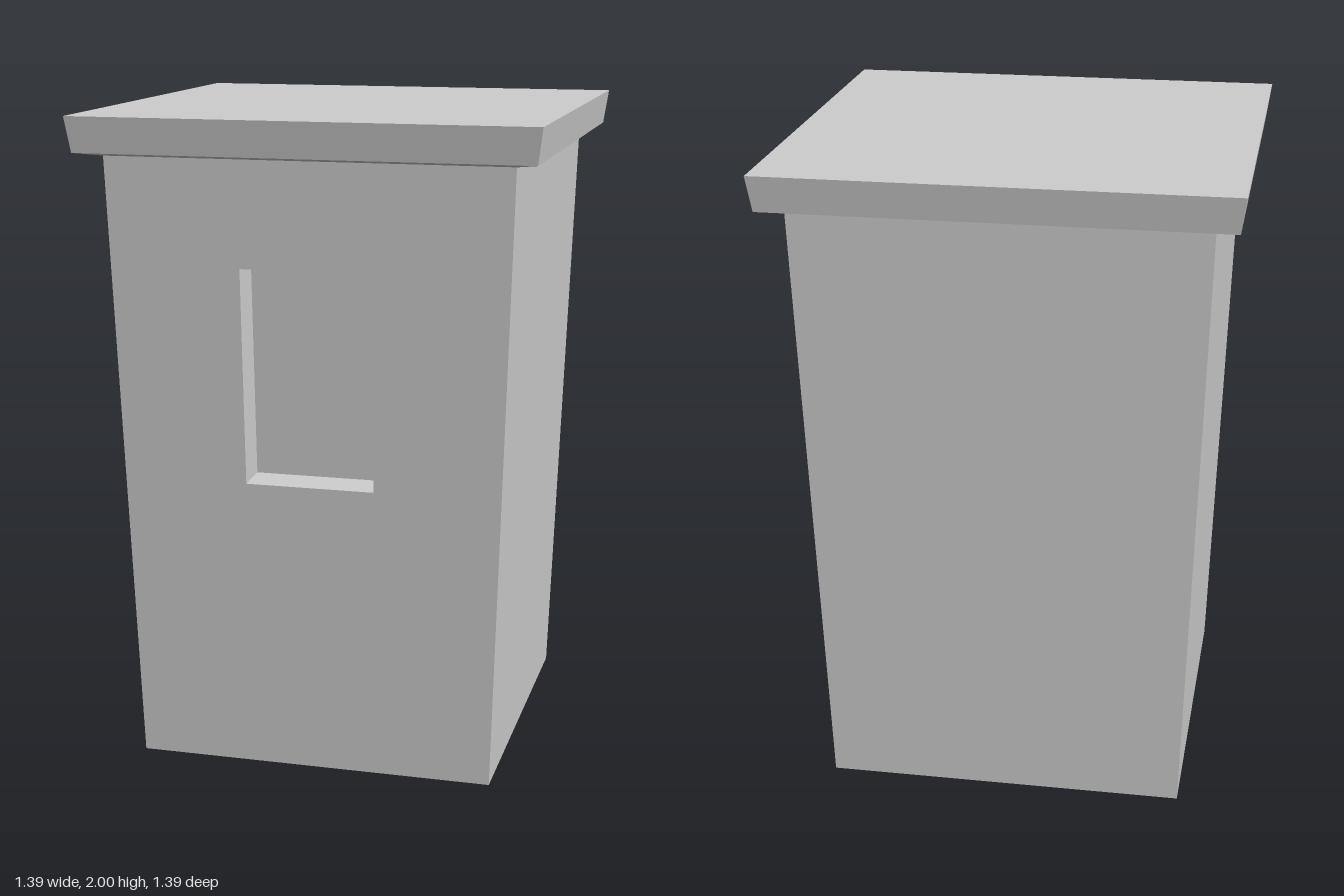
import * as THREE from 'three';

const BASE = 0.552, TOP = 0.612, WALL_H = 1.88;
const wallZ = (y) => BASE + (TOP - BASE) * (y / WALL_H);

// Square horizontal ring of half width h at height y
const square = (h, y) => [[-h, y, h], [h, y, h], [h, y, -h], [-h, y, -h]];

// Ring lying on the sloped front wall, set back by depth
const frontRing = (x0, y0, x1, y1, depth = 0) => [
  [-x0, y0, wallZ(y0) - depth], [x0, y0, wallZ(y0) - depth],
  [x1, y1, wallZ(y1) - depth], [-x1, y1, wallZ(y1) - depth],
];

// Flat-faced skin through four-cornered rings; optional cap on the last ring
function loft(rings, { cap = false, sides = [0, 1, 2, 3] } = {}) {
  const pos = [];
  const quad = (a, b, c, d) => pos.push(...a, ...b, ...c, ...a, ...c, ...d);
  for (let i = 0; i + 1 < rings.length; i++) {
    const a = rings[i], b = rings[i + 1];
    for (const k of sides) {
      const n = (k + 1) % 4;
      quad(a[k], a[n], b[n], b[k]);
    }
  }
  if (cap) quad(...rings[rings.length - 1]);
  const geo = new THREE.BufferGeometry();
  geo.setAttribute('position', new THREE.Float32BufferAttribute(pos, 3));
  geo.computeVertexNormals();
  return geo;
}

export function createModel() {
  const group = new THREE.Group();
  group.name = 'tower';
  const stone = new THREE.MeshStandardMaterial({ color: 0xcccccc, side: THREE.DoubleSide });
  stone.name = 'grey stone';
  const add = (name, geo) => {
    const mesh = new THREE.Mesh(geo, stone);
    mesh.name = name;
    group.add(mesh);
  };

  // Side and back walls, open underneath
  add('sideAndBackWalls', loft([square(BASE, 0), square(TOP, WALL_H)], { sides: [1, 2, 3] }));

  // Front wall around the window opening
  const opening = frontRing(0.197, 0.905, 0.202, 1.56);
  add('frontWall', loft([frontRing(BASE, 0, TOP, WALL_H), opening]));

  // Blind window recess with slightly tapered reveals
  add('windowRecess', loft([opening, frontRing(0.187, 0.92, 0.192, 1.548, 0.08)], { cap: true }));

  // Overhanging flat roof slab
  add('roof', loft([square(TOP, WALL_H), square(0.682, 1.893), square(0.697, 2)], { cap: true }));

  return group;
}
